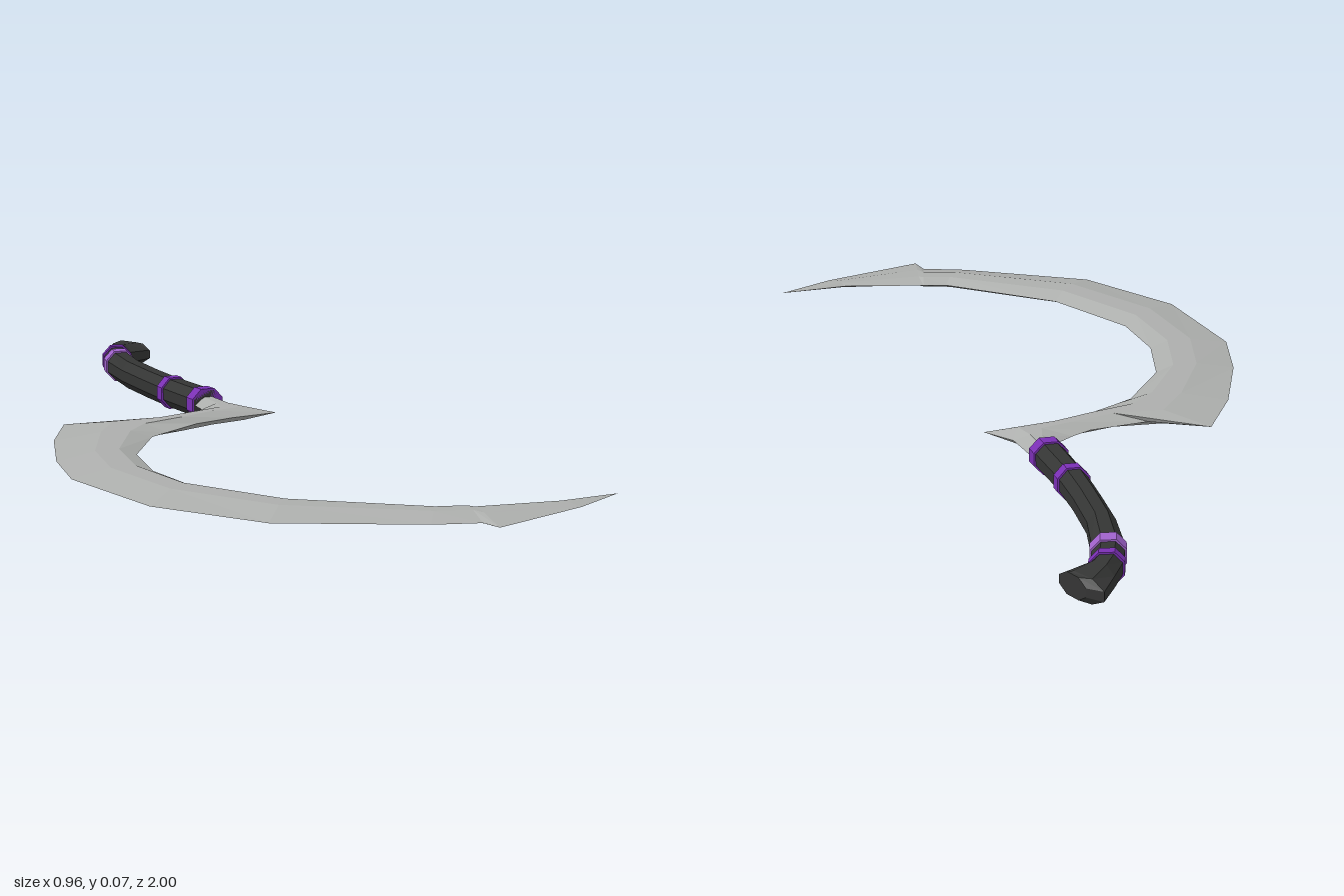
import * as THREE from 'three';

const MID = 0.037; // height of the flat symmetry plane

// Lofts a closed profile through sections [ax, az, bx, bz, halfHeight].
// Profile points are [fraction from a to b, fraction of half height].
function loft(sections, profileOf) {
  const rings = sections.map((s, i) => profileOf(i).map(([t, k]) => new THREE.Vector3(
    s[0] + (s[2] - s[0]) * t, MID + k * s[4], s[1] + (s[3] - s[1]) * t)));
  const pos = [];
  const n = rings[0].length;
  const e1 = new THREE.Vector3(), e2 = new THREE.Vector3();
  const tri = (a, b, c) => {
    if (e1.subVectors(b, a).cross(e2.subVectors(c, a)).length() < 1e-9) return;
    for (const p of [a, b, c]) pos.push(p.x, p.y, p.z);
  };
  for (let i = 0; i < rings.length - 1; i++) {
    for (let j = 0; j < n; j++) {
      const k = (j + 1) % n, r = rings[i], q = rings[i + 1];
      tri(r[j], q[j], r[k]);
      tri(r[k], q[j], q[k]);
    }
  }
  const first = rings[0], last = rings[rings.length - 1];
  for (let j = 1; j < n - 1; j++) {
    tri(first[0], first[j], first[j + 1]);
    tri(last[0], last[j + 1], last[j]);
  }
  const g = new THREE.BufferGeometry();
  g.setAttribute('position', new THREE.Float32BufferAttribute(pos, 3));
  g.computeVertexNormals();
  return g;
}

// Blade: back edge to cutting edge, from the neck round to the point
const BLADE = [
  [0.04, -0.30, 0.105, -0.30, 0.018],
  [0.035, -0.235, 0.125, -0.20, 0.016],
  [-0.005, -0.205, 0.177, -0.14, 0.016],
  [-0.05, -0.18, 0.066, -0.13, 0.016],
  [-0.185, -0.16, -0.035, -0.105, 0.016],
  [-0.31, -0.22, -0.13, -0.05, 0.016],
  [-0.39, -0.075, -0.18, -0.02, 0.016],
  [-0.457, 0.115, -0.277, 0.125, 0.016],
  [-0.487, 0.28, -0.304, 0.28, 0.016],
  [-0.43, 0.56, -0.283, 0.435, 0.016],
  [-0.272, 0.78, -0.16, 0.64, 0.016],
  [0.01, 0.92, 0.077, 0.816, 0.013],
  [0.108, 0.95, 0.13, 0.826, 0.012],
  [0.12, 0.995, 0.14, 0.828, 0.011],
  [0.35, 0.917, 0.32, 0.864, 0.006],
  [0.477, 0.848, 0.477, 0.848, 0],
];
const bladeProfile = (i) => {
  const [u, v] = i < 4 ? [0.35, 0.62] : [0.48, 0.78];
  return [[0, 0], [u, 1], [v, 1], [1, 0], [v, -1], [u, -1]];
};

// Grip: chamfered, gently curved
const GRIP = [
  [0.055, -0.885, 0.118, -0.875, 0.032],
  [0.03, -0.81, 0.096, -0.80, 0.033],
  [0.018, -0.68, 0.078, -0.68, 0.033],
  [0.019, -0.56, 0.078, -0.56, 0.033],
  [0.022, -0.45, 0.084, -0.45, 0.033],
  [0.037, -0.285, 0.105, -0.285, 0.033],
];
const octagon = () => [[0, -0.4], [0, 0.4], [0.28, 1], [0.72, 1],
  [1, 0.4], [1, -0.4], [0.72, -1], [0.28, -1]];

// Hooked pommel
const POMMEL = [
  [0.15, -0.975, 0.185, -0.90, 0.024],
  [0.12, -1.0, 0.18, -0.90, 0.027],
  [0.085, -0.94, 0.13, -0.885, 0.031],
  [0.055, -0.885, 0.118, -0.875, 0.032],
];

// Grip section at a depth, grown a little so a band sits proud of it
function gripAt(z, grow) {
  let i = 0;
  while (i < GRIP.length - 2 && GRIP[i + 1][1] < z) i++;
  const p = GRIP[i], q = GRIP[i + 1];
  const t = (z - p[1]) / (q[1] - p[1]);
  const s = p.map((v, k) => v + (q[k] - v) * t);
  s[0] -= grow;
  s[2] += grow;
  s[4] += grow;
  return s;
}

export function createModel() {
  const steel = new THREE.MeshStandardMaterial({ color: 0xacaeac });
  steel.name = 'steel';
  const black = new THREE.MeshStandardMaterial({ color: 0x343534 });
  black.name = 'black grip';
  const purple = new THREE.MeshStandardMaterial({ color: 0x7a2fb4 });
  purple.name = 'purple';
  const lilac = new THREE.MeshStandardMaterial({ color: 0xa062cc });
  lilac.name = 'lilac';

  const model = new THREE.Group();
  model.name = 'sickle';
  const add = (name, geometry, material) => {
    const mesh = new THREE.Mesh(geometry, material);
    mesh.name = name;
    model.add(mesh);
  };

  add('blade', loft(BLADE, bladeProfile), steel);
  add('grip', loft(GRIP, octagon), black);
  add('pommel', loft(POMMEL, octagon), black);

  // Bands round the grip
  const bands = [
    ['neckBand', -0.315, -0.285, purple],
    ['middleBand', -0.46, -0.435, purple],
    ['wideBand', -0.83, -0.795, lilac],
    ['pommelBand', -0.885, -0.865, purple],
  ];
  for (const [name, z0, z1, material] of bands) {
    add(name, loft([gripAt(z0, 0.004), gripAt(z1, 0.004)], octagon), material);
  }
  return model;
}
